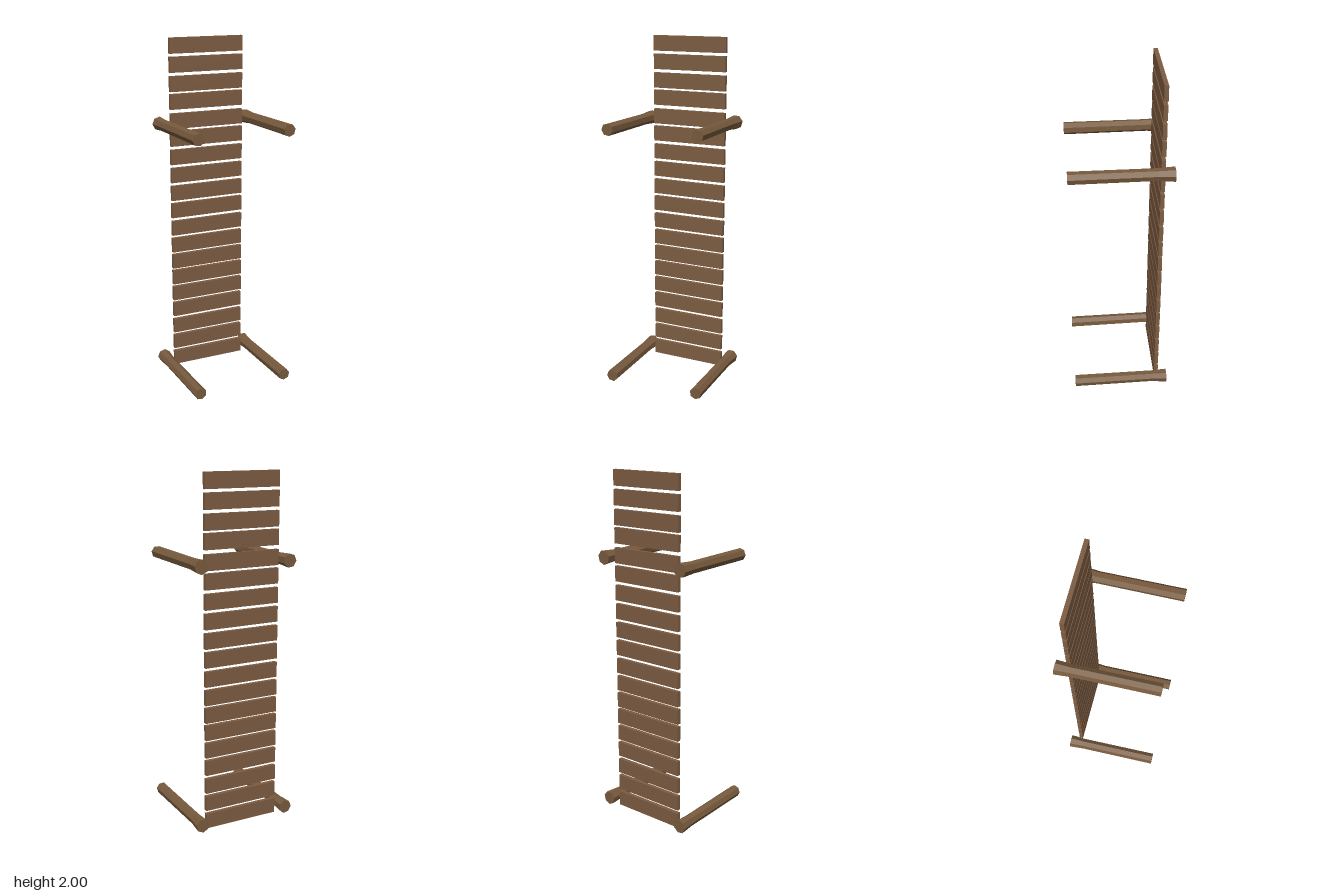
import * as THREE from 'three';

const plankWood = new THREE.MeshStandardMaterial({ color: 0x7d5c42, flatShading: true });
plankWood.name = 'plank wood';
const postWood = new THREE.MeshStandardMaterial({ color: 0x775a3d, flatShading: true });
postWood.name = 'post wood';

// Slightly uneven spacing of the boards, given by their top edges
const PLANK_TOPS = [2, 1.894, 1.786, 1.685, 1.574, 1.471, 1.362, 1.254, 1.146, 1.04,
  0.931, 0.825, 0.722, 0.62, 0.516, 0.411, 0.302, 0.196, 0.088];
const PLANK_HEIGHT = 0.088;

// Seven-sided log through three rings [x, y, z, radius], front to back
function logGeometry(rings, phaseDegrees) {
  const start = THREE.MathUtils.degToRad(phaseDegrees + 90);
  const geometry = new THREE.CylinderGeometry(1, 1, 1, 7, 2, false, start);
  geometry.rotateX(Math.PI / 2);
  const p = geometry.attributes.position;
  for (let i = 0; i < p.count; i++) {
    const z = p.getZ(i);
    const [cx, cy, cz, r] = rings[z > 0.1 ? 0 : z < -0.1 ? 2 : 1];
    p.setXYZ(i, cx + p.getX(i) * r, cy + p.getY(i) * r, cz);
  }
  geometry.computeVertexNormals();
  return geometry;
}

export function createModel() {
  const model = new THREE.Group();
  model.name = 'plankBridge';

  // Row of boards
  const planks = new THREE.Group();
  planks.name = 'planks';
  const board = new THREE.BoxGeometry(0.452, PLANK_HEIGHT, 0.023);
  PLANK_TOPS.forEach((top, i) => {
    const plank = new THREE.Mesh(board, plankWood);
    plank.name = `plank${i + 1}`;
    plank.position.set(0.001, top - PLANK_HEIGHT / 2, -0.2245);
    planks.add(plank);
  });
  model.add(planks);

  // Leaning posts, flared at the back end, one pair near each end of the row
  const logs = {
    right: logGeometry([
      [-0.2625, 0.048, 0.28, 0.035],
      [-0.272, 0.042, -0.19, 0.034],
      [-0.273, 0.041, -0.28, 0.04],
    ], 81),
    left: logGeometry([
      [0.277, 0.054, 0.28, 0.035],
      [0.27, 0.048, -0.19, 0.034],
      [0.271, 0.046, -0.28, 0.041],
    ], 11),
  };
  for (const [side, geometry] of Object.entries(logs)) {
    for (const [end, y] of [['lower', 0], ['upper', 1.472]]) {
      const post = new THREE.Mesh(geometry, postWood);
      post.name = `${end}Post_${side}`;
      post.position.y = y;
      model.add(post);
    }
  }
  return model;
}
